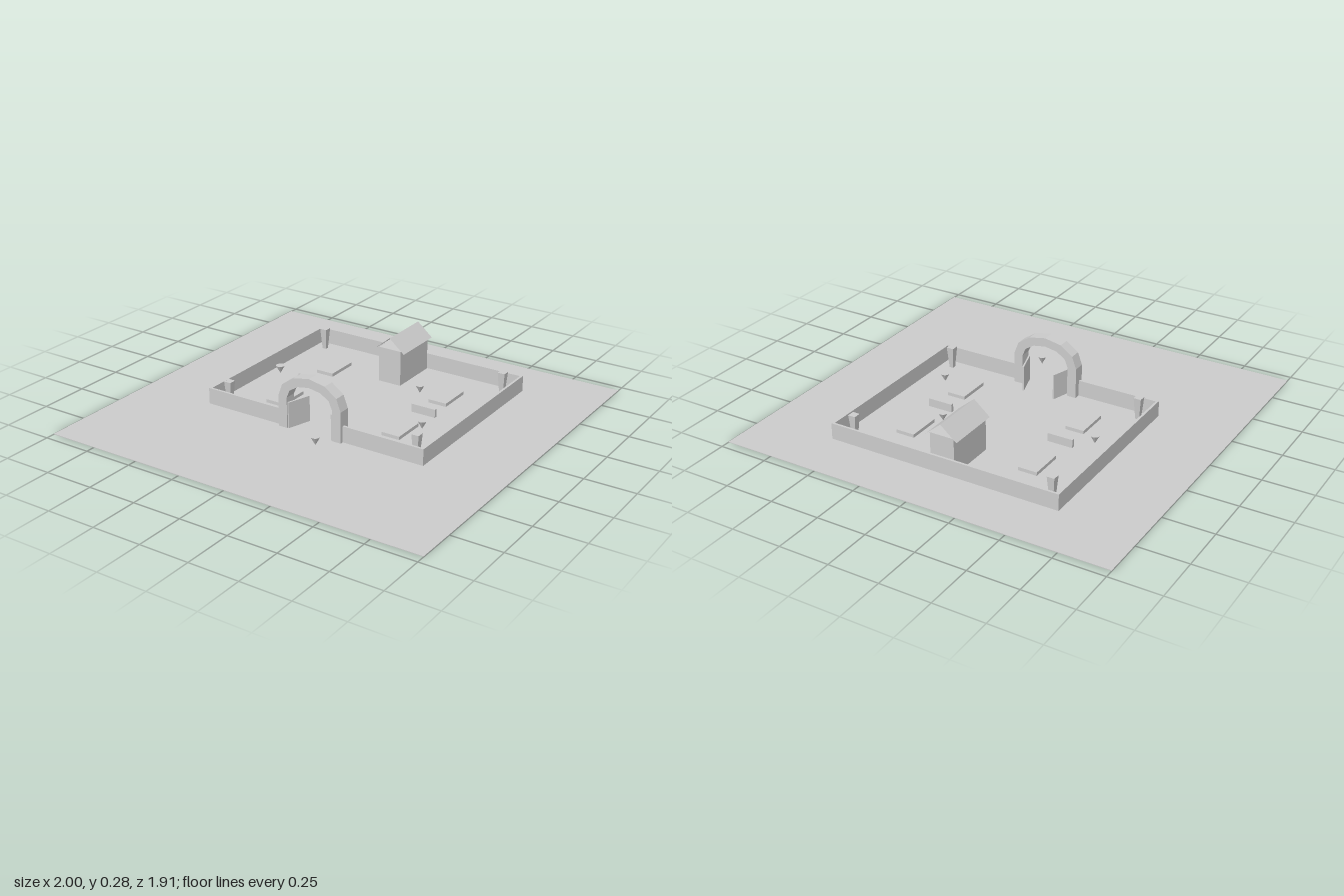
import * as THREE from 'three';

export function createModel() {
  const root = new THREE.Group();
  const mat = new THREE.MeshStandardMaterial({ color: 0xcccccc, flatShading: true });
  const thin = new THREE.MeshStandardMaterial({ color: 0xcccccc, flatShading: true, side: THREE.DoubleSide });

  function add(name, geo, x, y, z, material = mat) {
    const mesh = new THREE.Mesh(geo, material);
    mesh.name = name;
    mesh.position.set(x, y, z);
    root.add(mesh);
    return mesh;
  }
  // box given by its limits
  function block(name, x0, x1, y0, y1, z0, z1) {
    return add(name, new THREE.BoxGeometry(x1 - x0, y1 - y0, z1 - z0),
      (x0 + x1) / 2, (y0 + y1) / 2, (z0 + z1) / 2);
  }

  // Ground
  block('ground', -1, 1, 0, 0.003, -0.955, 0.955);

  // Enclosing walls, open at the gate
  const W = 0.604, T = 0.012, H = 0.085, back = -0.685, front = 0.288;
  block('backWall', -W, W, 0, H, back, back + T);
  for (const [side, s] of [['left', 1], ['right', -1]]) {
    const span = (name, a, b, y1, z0, z1) =>
      block(name, Math.min(a * s, b * s), Math.max(a * s, b * s), 0, y1, z0, z1);
    span(side + 'Wall', W - T, W, H, back + T, front - T);
    span(side + 'FrontWall', 0.15, W, H, front - T, front);

    // Plots with a bench between them
    span(side + 'BackPlot', 0.283, 0.38, 0.02, -0.485, -0.31);
    span(side + 'FrontPlot', 0.283, 0.38, 0.02, -0.05, 0.125);
    span(side + 'Bench', 0.267, 0.397, 0.045, -0.19, -0.173);

    // Tapered corner posts
    for (const z of [-0.608, 0.22]) {
      const post = new THREE.CylinderGeometry(0.019 * Math.SQRT2, 0.01 * Math.SQRT2, 0.115, 4);
      post.rotateY(Math.PI / 4);
      add('cornerPost', post, 0.53 * s, 0.0575, z);
    }

    // Gate leaf, swung inwards
    const leaf = add(side + 'GateLeaf', new THREE.BoxGeometry(0.008, 0.135, 0.125), 0.104 * s, 0.0675, 0.241);
    leaf.rotation.y = 0.3 * s;
  }

  // Gate arch: straight legs under a faceted elliptical bow
  const arch = new THREE.Shape();
  const N = 6, spring = 0.16;
  arch.moveTo(0.175, 0);
  for (let i = 0; i <= N; i++) {
    const a = Math.PI * i / N;
    arch.lineTo(0.175 * Math.cos(a), spring + 0.125 * Math.sin(a));
  }
  arch.lineTo(-0.175, 0);
  arch.lineTo(-0.127, 0);
  for (let i = N; i >= 0; i--) {
    const a = Math.PI * i / N;
    arch.lineTo(0.127 * Math.cos(a), spring + 0.08 * Math.sin(a));
  }
  arch.lineTo(0.127, 0);
  add('gateArch', new THREE.ExtrudeGeometry(arch, { depth: 0.06, bevelEnabled: false }), 0, 0, 0.245);

  // Chapel body and its two open-ended roof slopes
  block('chapelBody', -0.063, 0.063, 0, 0.187, -0.668, -0.403);
  const run = 0.083, rise = 0.07;
  for (const s of [1, -1]) {
    const slope = new THREE.PlaneGeometry(Math.hypot(run, rise), 0.277);
    slope.rotateX(-Math.PI / 2);
    const roof = add('chapelRoof', slope, s * run / 2, 0.177 + rise / 2, -0.538, thin);
    roof.rotation.z = -s * Math.atan2(rise, run);
  }

  // Floating markers pointing down
  for (const [x, z] of [[0.122, 0.432], [0.225, -0.323], [-0.49, -0.145], [0.44, 0.02]]) {
    const cone = new THREE.ConeGeometry(0.023, 0.042, 12);
    cone.rotateX(Math.PI);
    add('marker', cone, x, 0.056, z);
  }
  return root;
}
